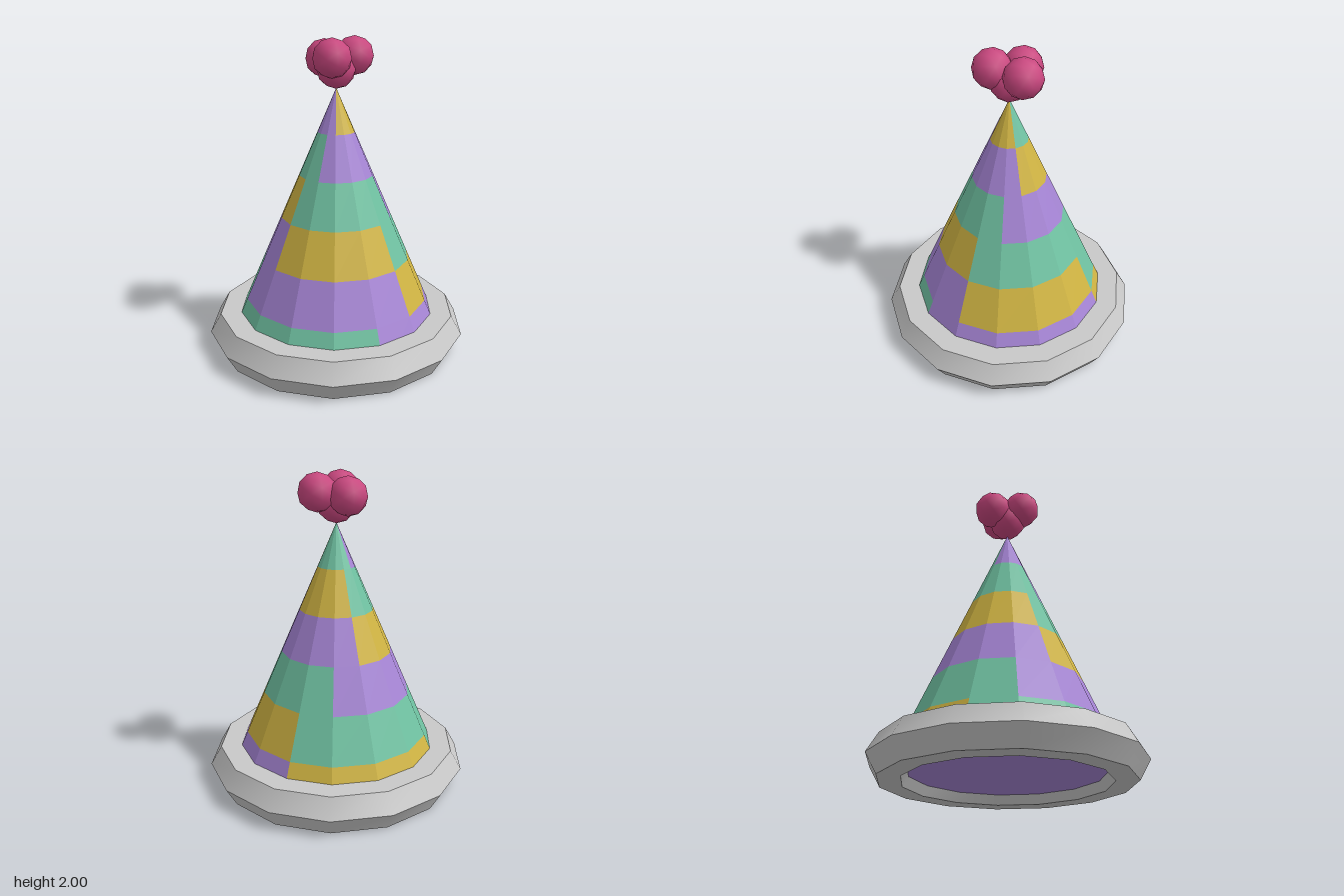
import * as THREE from 'three';
import { toCreasedNormals } from 'three/addons/utils/BufferGeometryUtils.js';

const SIDES = 14, ROWS = 6;
const BASE_Y = 0.06, TIP_Y = 1.69, BASE_R = 0.709;

function material(name, color) {
  const m = new THREE.MeshStandardMaterial({ color });
  m.name = name;
  return m;
}

export function createModel() {
  const purple = material('purple', 0xa685d5);
  const yellow = material('yellow', 0xd0b443);
  const green = material('green', 0x70c2a2);
  const grey = material('grey', 0xc8c8c8);
  const pink = material('pink', 0xc9477f);

  const group = new THREE.Group();
  group.name = 'partyHat';
  function add(name, geometry, mat, x = 0, y = 0, z = 0) {
    const mesh = new THREE.Mesh(geometry, mat);
    mesh.name = name;
    mesh.position.set(x, y, z);
    group.add(mesh);
  }

  // Faceted cone, one facet centred on the front
  const height = TIP_Y - BASE_Y;
  const cone = new THREE.ConeGeometry(BASE_R, height, SIDES, ROWS, true, -Math.PI / SIDES)
    .toNonIndexed();
  cone.computeVertexNormals();
  cone.clearGroups();

  // Three colours step around the cone and shift as the rows rise
  const colourAt = (side, row) => {
    for (let stripe = 0; stripe < 3; stripe++) {
      const start = (n) => Math.round(2 + (2 * row + SIDES * n) / 3);
      const offset = (side - start(stripe) + 2 * SIDES) % SIDES;
      if (offset < start(stripe + 1) - start(stripe)) return (row + stripe) % 3;
    }
    return 0;
  };
  let first = 0;
  for (let side = 0; side < SIDES; side++) {
    for (let row = ROWS - 1; row >= 0; row--) {
      const count = row === ROWS - 1 ? 3 : 6; // the tip row is single triangles
      cone.addGroup(first, count, colourAt(side, row));
      first += count;
    }
  }
  add('cone', cone, [purple, yellow, green], 0, BASE_Y + height / 2);

  // Flat underside of the cone
  add('coneBase', new THREE.CircleGeometry(BASE_R, SIDES).rotateX(Math.PI / 2), purple, 0, BASE_Y);

  // Six-sided brim ring, smooth around and sharp across its edges
  const brim = new THREE.TorusGeometry(0.697, 0.1386, 6, SIDES).rotateX(Math.PI / 2);
  add('brim', toCreasedNormals(brim, Math.PI / 6), grey, 0, 0.12);

  // Pompom: three balls over a lower one
  const ball = new THREE.IcosahedronGeometry(0.121, 1);
  const balls = [[0, 1.805, 0], [0, 1.88, 0.1], [-0.092, 1.86, -0.07], [0.093, 1.88, -0.092]];
  balls.forEach((p, i) => add('pompomBall' + (i + 1), ball, pink, ...p));

  return group;
}
